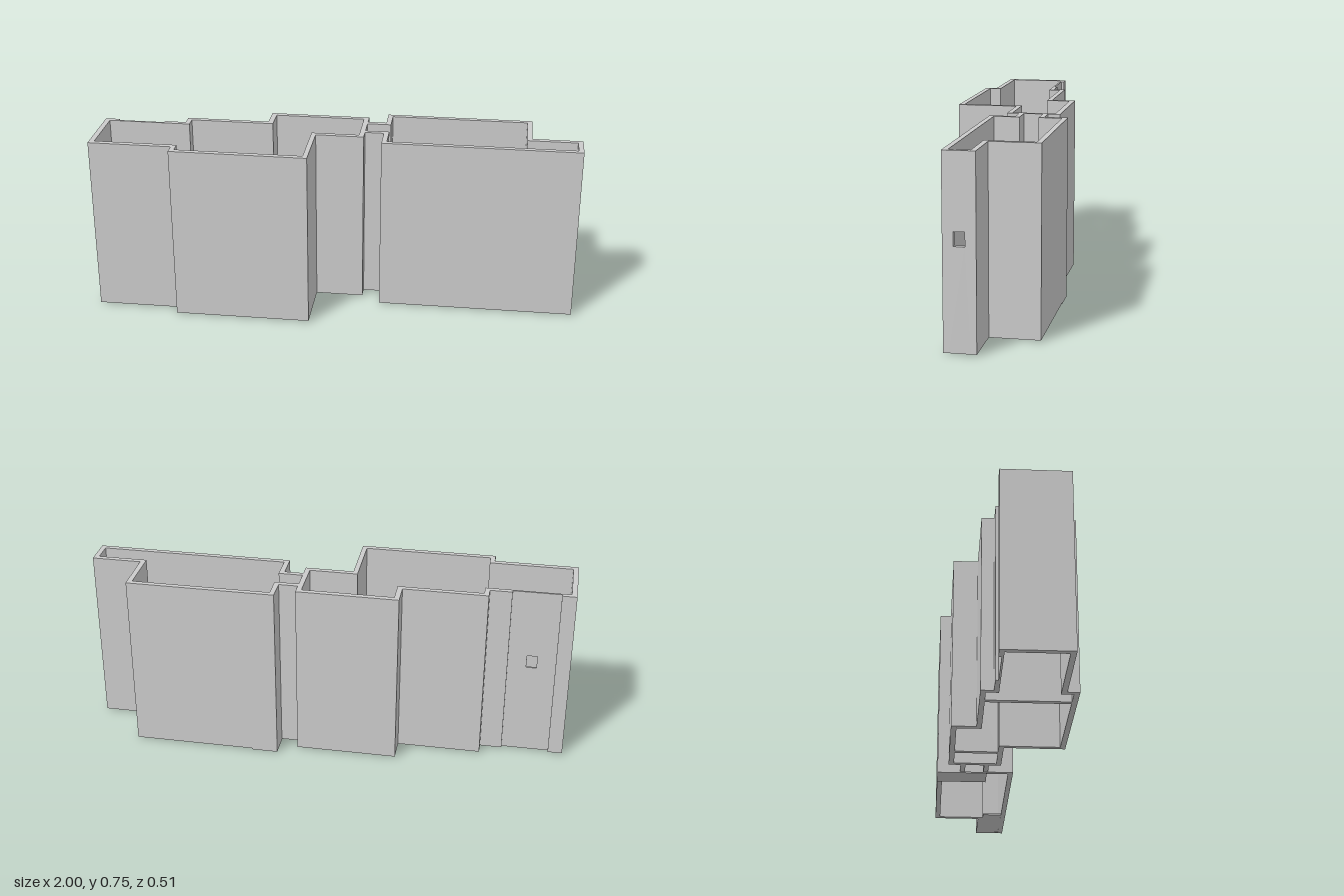
import * as THREE from 'three';

const BASE = 0.005, TOP = 0.745;
const material = new THREE.MeshStandardMaterial({ color: 0xcccccc, flatShading: true });

// Extrude a floor-plan outline of [x, z] points upward from y0 to y1
function plan(name, points, y0 = BASE, y1 = TOP) {
  const shape = new THREE.Shape(points.map(([x, z]) => new THREE.Vector2(x, -z)));
  const geometry = new THREE.ExtrudeGeometry(shape, { depth: y1 - y0, bevelEnabled: false });
  geometry.rotateX(-Math.PI / 2).translate(0, y0, 0);
  const mesh = new THREE.Mesh(geometry, material);
  mesh.name = name;
  return mesh;
}

const slab = (name, x0, x1, z0, z1, y0, y1) =>
  plan(name, [[x0, z0], [x1, z0], [x1, z1], [x0, z1]], y0, y1);

// Upright panel, centred on its own origin, with a small window opening
function windowPanel(name, width, depth) {
  const w = width / 2;
  const shape = new THREE.Shape([[-w, BASE], [w, BASE], [w, TOP], [-w, TOP]].map(p => new THREE.Vector2(...p)));
  shape.holes.push(new THREE.Path([[-0.021, 0.4], [-0.021, 0.454], [0.021, 0.454], [0.021, 0.4]].map(p => new THREE.Vector2(...p))));
  const geometry = new THREE.ExtrudeGeometry(shape, { depth, bevelEnabled: false });
  const mesh = new THREE.Mesh(geometry, material);
  mesh.name = name;
  return mesh;
}

export function createModel() {
  const model = new THREE.Group();
  model.name = 'walledRooms';

  // Rooms on the -x side: outer outline, then back along the inside
  const westRooms = new THREE.Group();
  westRooms.name = 'westRooms';
  westRooms.add(plan('westWalls', [
    [-0.745, -0.065], [-0.655, -0.065], [-0.655, -0.115], [-0.31, -0.115], [-0.31, -0.215],
    [0.107, -0.215], [0.107, 0.005], [-0.092, 0.005], [-0.092, 0.255], [-0.655, 0.255],
    [-0.655, 0.207], [-1, 0.207], [-1, -0.065], [-0.94, -0.065],
    [-0.94, -0.045], [-0.978, -0.045], [-0.978, 0.185], [-0.635, 0.185], [-0.635, 0.233],
    [-0.112, 0.233], [-0.112, -0.016], [0.086, -0.016], [0.086, -0.193], [-0.288, -0.193],
    [-0.288, -0.094], [-0.635, -0.094], [-0.635, -0.045], [-0.745, -0.045],
  ]));
  const backPanel = windowPanel('recessedWindowPanel', 0.195, 0.008);
  backPanel.position.set(-0.8425, 0, -0.053);
  westRooms.add(backPanel);

  // Lower partitions between the rooms
  westRooms.add(slab('largePartition', -0.567, -0.547, -0.094, 0.233, BASE, 0.55));
  westRooms.add(slab('smallPartition', -0.047, -0.027, -0.193, -0.016, BASE, 0.55));
  model.add(westRooms);

  // Room on the +x side, opening into the short corridor
  const eastRoom = new THREE.Group();
  eastRoom.name = 'eastRoom';
  eastRoom.add(plan('eastBackWalls', [
    [0.107, -0.165], [0.185, -0.165], [0.185, -0.26], [0.795, -0.26], [0.795, -0.063],
    [1, -0.063], [1, -0.042], [0.774, -0.042], [0.774, -0.239], [0.206, -0.239],
    [0.206, -0.144], [0.107, -0.144],
  ]));
  eastRoom.add(plan('eastFrontWalls', [
    [0.107, -0.066], [0.206, -0.066], [0.206, 0.04], [1, 0.04], [1, 0.061],
    [0.185, 0.061], [0.185, -0.046], [0.107, -0.046],
  ]));
  const endPanel = windowPanel('endWindowPanel', 0.082, 0.021);
  endPanel.rotation.y = Math.PI / 2;
  endPanel.position.set(0.979, 0, -0.001);
  eastRoom.add(endPanel);

  // Thin floor slabs
  eastRoom.add(slab('entranceFloor', 0.185, 0.295, -0.26, -0.051, 0, BASE));
  eastRoom.add(slab('alcoveFloor', 0.737, 0.979, -0.042, 0.04, BASE + 0.001, 0.012));
  model.add(eastRoom);

  return model;
}
